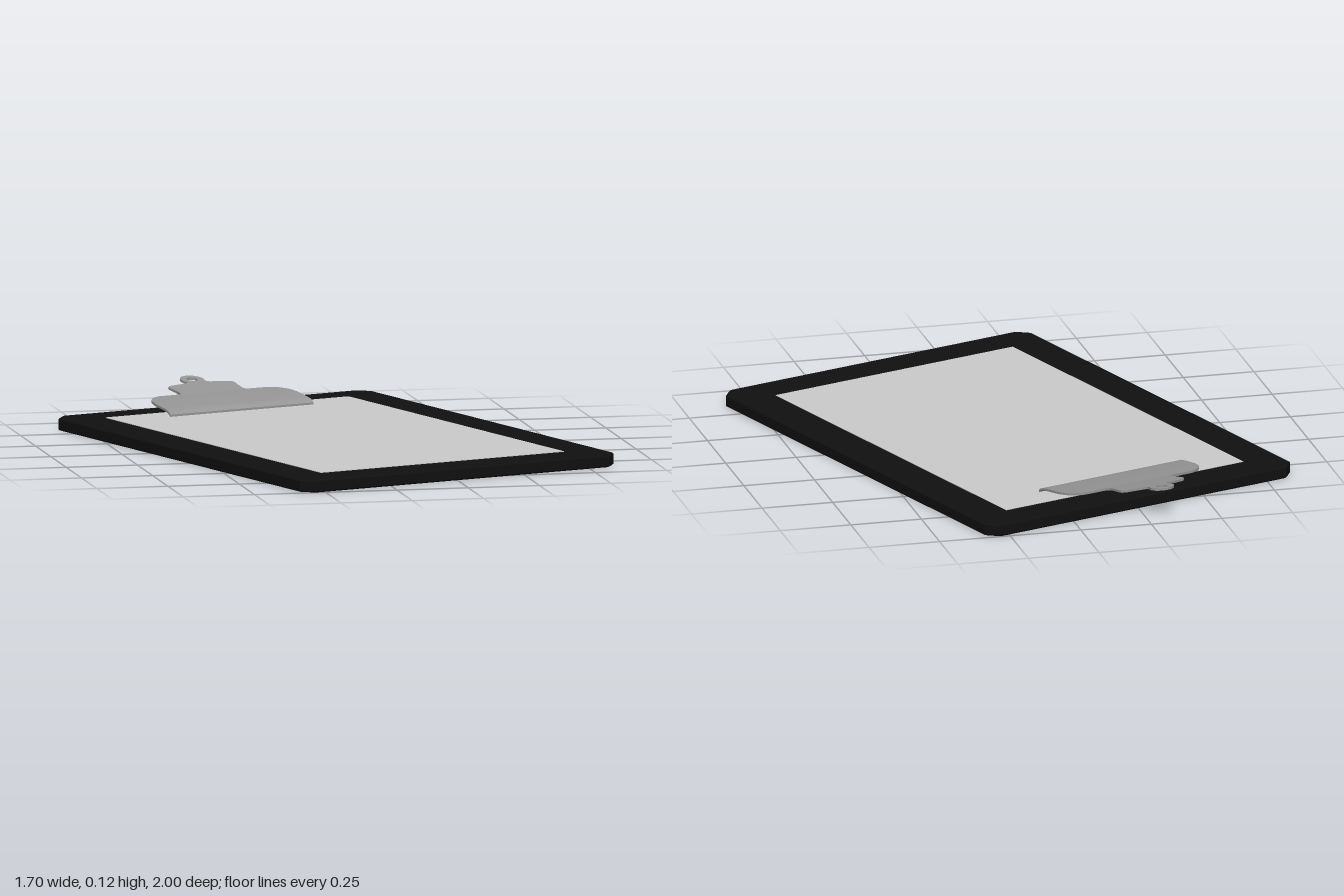
import * as THREE from 'three';

const mat = (color) => new THREE.MeshStandardMaterial({ color });

// Side profile of the clip plate: [z, underside height, half width], front lip to rear tab
const CLIP_ROWS = [
  [-0.640, 0.044, 0.284], [-0.648, 0.051, 0.284], [-0.660, 0.056, 0.284],
  [-0.680, 0.060, 0.283], [-0.710, 0.064, 0.283], [-0.750, 0.069, 0.282],
  [-0.775, 0.072, 0.277], [-0.797, 0.074, 0.268], [-0.815, 0.076, 0.253],
  [-0.827, 0.077, 0.237], [-0.834, 0.078, 0.215], [-0.835, 0.078, 0.130],
  [-0.850, 0.081, 0.124], [-0.880, 0.086, 0.126], [-0.910, 0.091, 0.130],
  [-0.922, 0.093, 0.127], [-0.930, 0.094, 0.115], [-0.940, 0.096, 0.050],
  [-0.945, 0.097, 0.036],
];
const THICK = 0.008;

// Rectangle with cut corners
function cutRect(w, l, c) {
  return new THREE.Shape([
    [w - c, -l], [w, -l + c], [w, l - c], [w - c, l],
    [-w + c, l], [-w, l - c], [-w, -l + c], [-w + c, -l],
  ].map(([x, y]) => new THREE.Vector2(x, y)));
}

function addMesh(parent, name, geometry, material) {
  const mesh = new THREE.Mesh(geometry, material);
  mesh.name = name;
  parent.add(mesh);
  return mesh;
}

// Thin plate whose width and height follow the profile rows
function clipPlateGeometry() {
  const n = CLIP_ROWS.length - 1;
  const geo = new THREE.BoxGeometry(2, 1, 1, 8, 1, n);
  const p = geo.attributes.position;
  for (let i = 0; i < p.count; i++) {
    const [z, y, half] = CLIP_ROWS[Math.round((0.5 - p.getZ(i)) * n)];
    p.setXYZ(i, p.getX(i) * half, y + (p.getY(i) + 0.5) * THICK, z);
  }
  geo.computeVertexNormals();
  return geo;
}

// Hanging eyelet: rounded tongue with a hole, sloped to continue the plate
function eyeletGeometry() {
  const shape = new THREE.Shape();
  shape.moveTo(-0.036, 0.940);
  shape.lineTo(0.036, 0.940);
  shape.absarc(0, 0.978, 0.042, -0.4, Math.PI + 0.4, false);
  const hole = new THREE.Path();
  hole.absarc(0, 0.978, 0.019, 0, Math.PI * 2, true);
  shape.holes.push(hole);
  const geo = new THREE.ExtrudeGeometry(shape, { depth: THICK, bevelEnabled: false, curveSegments: 20 });
  geo.rotateX(-Math.PI / 2);
  const p = geo.attributes.position;
  for (let i = 0; i < p.count; i++) p.setY(i, p.getY(i) + 0.097 - 0.16 * (p.getZ(i) + 0.945));
  geo.computeVertexNormals();
  return geo;
}

export function createModel() {
  const model = new THREE.Group();
  model.name = 'clipboard';

  // Whole clipboard lies turned on the ground
  const turned = new THREE.Group();
  turned.name = 'turnedClipboard';
  turned.rotation.y = THREE.MathUtils.degToRad(18.2);
  model.add(turned);

  // Backing board
  const bevel = 0.005;
  const board = new THREE.ExtrudeGeometry(cutRect(0.623, 0.863, 0.041), {
    depth: 0.043 - 2 * bevel, bevelEnabled: true, bevelThickness: bevel,
    bevelSize: bevel, bevelOffset: -bevel, bevelSegments: 1,
  });
  board.rotateX(-Math.PI / 2).translate(0, bevel, 0);
  addMesh(turned, 'board', board, mat(0x101010));

  // Sheet of paper
  addMesh(turned, 'paper', new THREE.BoxGeometry(0.966, 0.003, 1.466), mat(0xcccccc))
    .position.set(0, 0.0435, -0.009);

  // Metal clip
  const clip = new THREE.Group();
  clip.name = 'clip';
  turned.add(clip);
  const metal = mat(0x969696);
  metal.side = THREE.DoubleSide;
  addMesh(clip, 'clipPlate', clipPlateGeometry(), metal);
  addMesh(clip, 'hangingEyelet', eyeletGeometry(), metal);

  return model;
}
